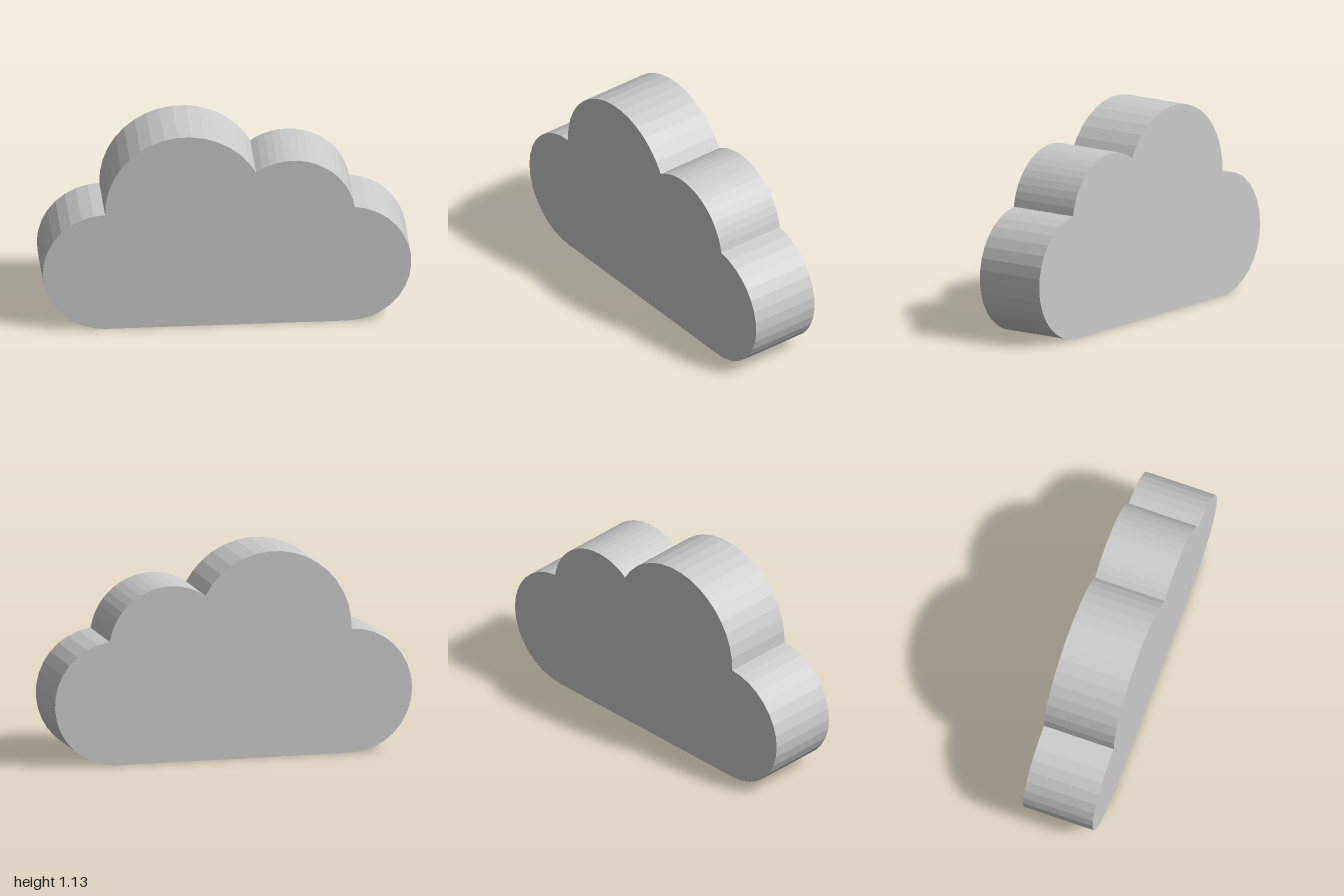
import * as THREE from 'three';

export function createModel() {
  const group = new THREE.Group();
  const depth = 0.4;

  // Cloud puffs, clockwise from lower left: centre, radius, start and end angle
  const puffs = [
    [-0.658, 0.342, 0.342, -90, -270],
    [-0.224, 0.698, 0.437, 182, 28.5],
    [0.355, 0.63, 0.342, 126, 9],
    [0.658, 0.342, 0.342, 83.5, -90],
  ];
  const outline = new THREE.Shape();
  for (const [x, y, r, start, end] of puffs) {
    outline.absarc(x, y, r, THREE.MathUtils.degToRad(start), THREE.MathUtils.degToRad(end), true);
  }
  outline.closePath(); // flat base

  // Slab with faceted sides, centred on z = 0
  const geometry = new THREE.ExtrudeGeometry(outline, { depth, bevelEnabled: false, curveSegments: 8 });
  geometry.translate(0, 0, -depth / 2);

  const cloud = new THREE.Mesh(
    geometry,
    new THREE.MeshStandardMaterial({ color: 0xcccccc, flatShading: true })
  );
  cloud.name = 'cloud';
  group.add(cloud);
  return group;
}
